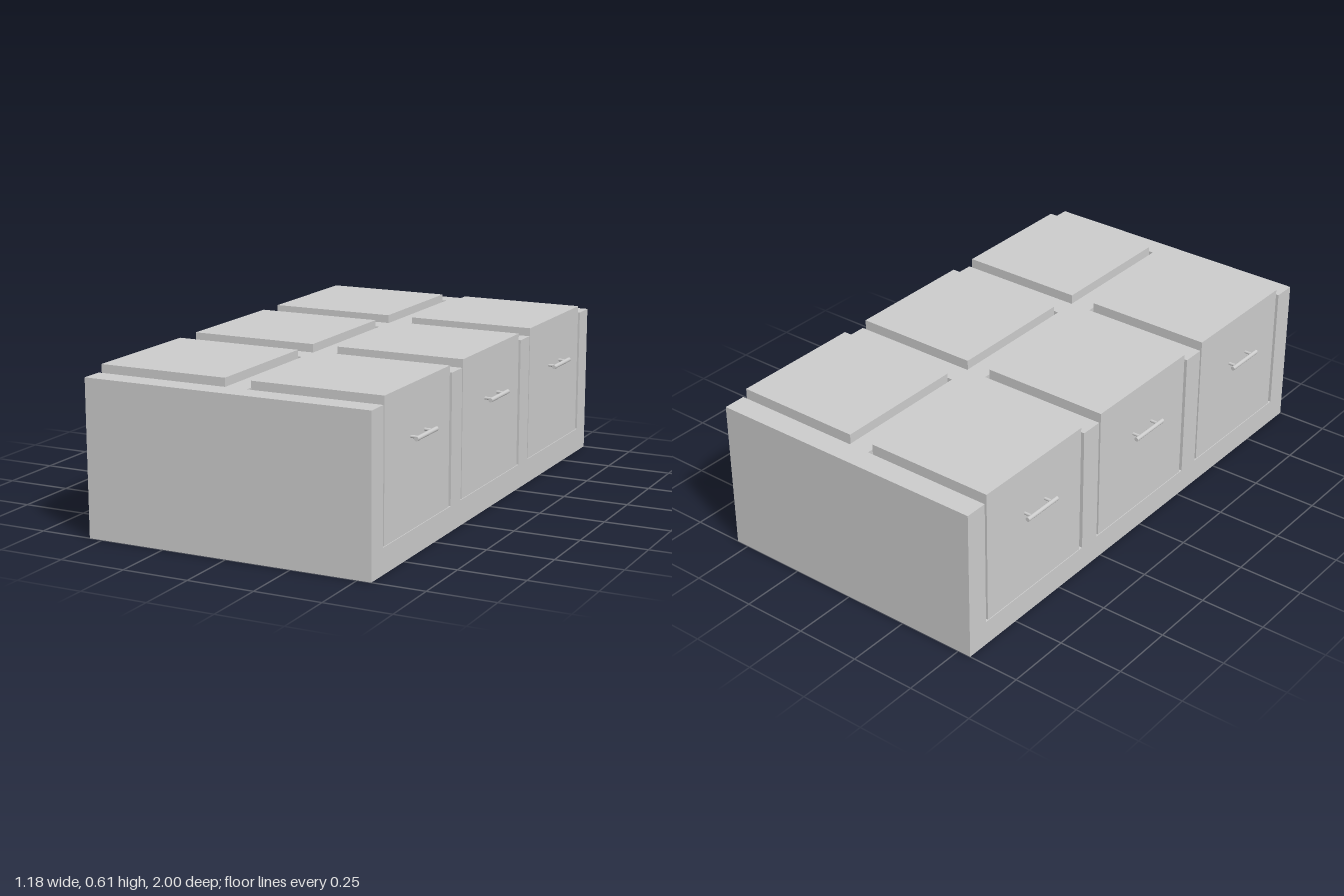
import * as THREE from 'three';

const HALF_W = 0.552, FLOOR = 0.095, TOP = 0.58, SPINE = 0.042;
const PITCH = 0.6375, BAY = 0.275; // bay spacing and half length
const material = new THREE.MeshStandardMaterial({ color: 0xcccccc });

function add(parent, name, geometry, x = 0, y = 0, z = 0) {
  const mesh = new THREE.Mesh(geometry, material);
  mesh.name = name;
  mesh.position.set(x, y, z);
  parent.add(mesh);
  return mesh;
}

// Plan of the upper cabinet: a spine with dividers between open bays
function dividerShape() {
  const side = [[HALF_W, -1]];
  for (const i of [-1, 0, 1]) {
    const a = i * PITCH - BAY, b = i * PITCH + BAY;
    side.push([HALF_W, a], [SPINE, a], [SPINE, b], [HALF_W, b]);
  }
  side.push([HALF_W, 1]);
  const mirrored = side.map(([x, z]) => [-x, z]).reverse();
  return new THREE.Shape([...side, ...mirrored].map(([x, z]) => new THREE.Vector2(x, z)));
}

// One drawer block with its bar handle, facing +x
function makeDrawer() {
  const drawer = new THREE.Group();
  const inner = 0.051, outer = 0.549, top = 0.608;
  add(drawer, 'drawerBlock', new THREE.BoxGeometry(outer - inner, top - FLOOR, 0.522),
    (inner + outer) / 2, (top + FLOOR) / 2, 0);

  const handle = new THREE.Group();
  handle.name = 'handle';
  handle.position.set(outer, 0.425, 0);
  add(handle, 'handleBar', new THREE.CylinderGeometry(0.008, 0.008, 0.165, 20).rotateX(Math.PI / 2), 0.032);
  for (const s of [-1, 1]) {
    add(handle, 'handlePost', new THREE.CylinderGeometry(0.0055, 0.0055, 0.034, 16).rotateZ(Math.PI / 2),
      0.015, 0, s * 0.056);
  }
  drawer.add(handle);
  return drawer;
}

export function createModel() {
  const model = new THREE.Group();
  model.name = 'drawerCabinet';

  // Cabinet body
  add(model, 'base', new THREE.BoxGeometry(HALF_W * 2, FLOOR, 2), 0, FLOOR / 2, 0);
  const walls = new THREE.ExtrudeGeometry(dividerShape(), { depth: TOP - FLOOR, bevelEnabled: false });
  add(model, 'dividers', walls.rotateX(-Math.PI / 2), 0, FLOOR, 0);

  // Three drawers on each side
  for (const side of [1, -1]) {
    for (const i of [-1, 0, 1]) {
      const drawer = makeDrawer();
      drawer.name = side > 0 ? 'leftDrawer' : 'rightDrawer';
      drawer.rotation.y = side > 0 ? 0 : Math.PI;
      drawer.position.z = i * PITCH;
      model.add(drawer);
    }
  }
  return model;
}
